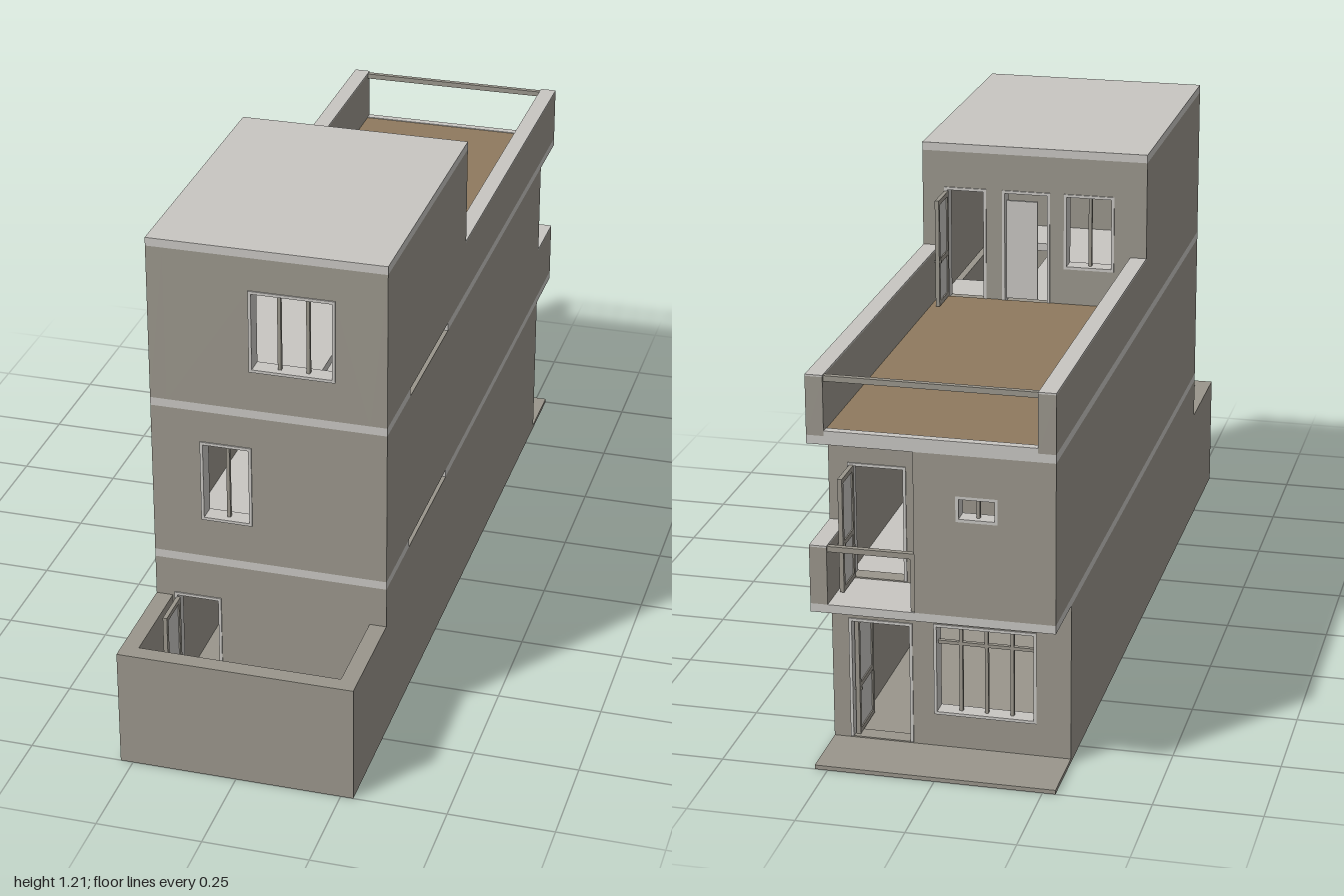
import * as THREE from 'three';

export function createModel() {
  const root = new THREE.Group();
  root.name = 'narrowHouse';
  const mat = (name, color) => {
    const m = new THREE.MeshStandardMaterial({ color });
    m.name = name;
    return m;
  };
  const wall = mat('wall plaster', 0x9a968c);
  const pale = mat('pale concrete', 0xc8c6c2);
  const deck = mat('brown deck', 0x8f7a5f);

  const W = 0.28, T = 0.04, FRONT = 0.72, BACK = -0.84, END = -1;

  // Box given by its limits on each axis
  const box = (name, m, x0, x1, y0, y1, z0, z1, parent = root) => {
    const mesh = new THREE.Mesh(new THREE.BoxGeometry(x1 - x0, y1 - y0, z1 - z0), m);
    mesh.position.set((x0 + x1) / 2, (y0 + y1) / 2, (z0 + z1) / 2);
    mesh.name = name;
    parent.add(mesh);
    return mesh;
  };

  const rect = (S, x0, x1, y0, y1) => {
    const s = new S();
    s.moveTo(x0, y0);
    s.lineTo(x1, y0);
    s.lineTo(x1, y1);
    s.lineTo(x0, y1);
    s.closePath();
    return s;
  };

  // Upright wall across x with rectangular openings [x0, x1, y0, y1]
  const panel = (name, x0, x1, y0, y1, z0, z1, holes = []) => {
    const s = rect(THREE.Shape, x0, x1, y0, y1);
    holes.forEach(h => s.holes.push(rect(THREE.Path, ...h)));
    const g = new THREE.ExtrudeGeometry(s, { depth: z1 - z0, bevelEnabled: false });
    const mesh = new THREE.Mesh(g, wall);
    mesh.position.z = z0;
    mesh.name = name;
    root.add(mesh);
  };

  // Pale frame lining an opening, with evenly spaced mullions and an optional transom
  const frame = (name, [x0, x1, y0, y1], z0, z1, panes = 1, transom = 0, isDoor = false) => {
    const g = new THREE.Group(), f = 0.007, zm = (z0 + z1) / 2;
    g.name = name;
    box('jamb', pale, x0, x0 + f, y0, y1, z0, z1, g);
    box('jamb', pale, x1 - f, x1, y0, y1, z0, z1, g);
    box('head', pale, x0, x1, y1 - f, y1, z0, z1, g);
    if (!isDoor) box('sill', pale, x0, x1, y0, y0 + f, z0, z1, g);
    for (let i = 1; i < panes; i++) {
      const x = x0 + (x1 - x0) * i / panes;
      box('mullion', wall, x - 0.004, x + 0.004, y0, y1, zm - 0.005, zm + 0.005, g);
    }
    if (transom) box('transom', wall, x0, x1, transom - 0.004, transom + 0.004, zm - 0.005, zm + 0.005, g);
    root.add(g);
  };

  // Door leaf standing open at right angles to its wall
  const leaf = (name, x, z0, z1, y0, y1) => {
    const g = new THREE.Group(), b = 0.012, t = 0.005;
    g.name = name;
    box('stile', wall, x - t, x + t, y0, y1, z0, z0 + b, g);
    box('stile', wall, x - t, x + t, y0, y1, z1 - b, z1, g);
    for (const y of [y0, y0 + (y1 - y0) * 0.4, y1 - b])
      box('rail', wall, x - t, x + t, y, y + b, z0 + b, z1 - b, g);
    box('leafPanel', pale, x - 0.002, x + 0.002, y0 + b, y1 - b, z0 + b, z1 - b, g);
    box('handle', wall, x - 0.009, x + 0.009, y0 + 0.11, y0 + 0.116, z0 + 0.004, z0 + 0.01, g);
    root.add(g);
  };

  // Ground plate
  box('basePlate', wall, -W, W, 0, 0.01, END, 1);

  // Front yard walls
  for (const s of [-1, 1]) {
    const a = s * W, b = s * (W - T);
    box('yardSideWall', wall, Math.min(a, b), Math.max(a, b), 0.01, 0.29, FRONT, 1);
  }
  box('yardFrontWall', wall, -W + T, W - T, 0.01, 0.29, 1 - T, 1);

  // Long side walls, storey by storey
  const side = (name, s, y0, y1, z0, z1) =>
    box(name, wall, s > 0 ? W - T : -W, s > 0 ? W : -W + T, y0, y1, z0, z1);
  for (const s of [-1, 1]) {
    side('groundSideWall', s, 0.01, 0.39, BACK, FRONT);
    side('middleSideWall', s, 0.41, 0.79, s > 0 ? BACK : END, FRONT);
    side('upperSideWall', s, 0.81, 1.19, 0, FRONT);
    side('terraceParapet', s, 0.81, 0.946, END, 0);
    box('parapetCap', pale, s > 0 ? W - T : -W, s > 0 ? W : -W + T, 0.946, 0.95, END, 0);
  }

  // Floor slabs with a stairwell notch reaching the left edge
  for (const y of [0.39, 0.79]) {
    box('slabBack', pale, -W, W, y, y + 0.02, END, 0.17);
    box('slabBesideStair', pale, -W, 0.06, y, y + 0.02, 0.17, 0.52);
    box('slabFront', pale, -W, W, y, y + 0.02, 0.52, FRONT);
  }
  box('roofSlab', pale, -W, W, 1.19, 1.21, 0, FRONT);

  // Openings
  const yardDoor = [-0.235, -0.12, 0.013, 0.3];
  const middleWindow = [-0.163, -0.04, 0.508, 0.712];
  const upperWindow = [-0.042, 0.16, 0.908, 1.11];
  const backDoor = [0.09, 0.24, 0.013, 0.31];
  const backWindow = [-0.2, 0.04, 0.09, 0.315];
  const balconyDoor = [0.1, 0.235, 0.413, 0.69];
  const bathWindow = [-0.15, -0.055, 0.635, 0.695];
  const terraceDoor = [0.12, 0.225, 0.813, 1.1];
  const secondDoor = [-0.04, 0.08, 0.813, 1.1];
  const terraceWindow = [-0.2, -0.075, 0.91, 1.1];

  // Cross walls
  const xi = W - T, zf = FRONT - T;
  panel('groundFrontWall', -xi, xi, 0.01, 0.39, zf, FRONT, [yardDoor]);
  panel('middleFrontWall', -xi, xi, 0.41, 0.79, zf, FRONT, [middleWindow]);
  panel('upperFrontWall', -xi, xi, 0.81, 1.19, zf, FRONT, [upperWindow]);
  panel('groundBackWall', -xi, xi, 0.01, 0.39, BACK, BACK + T, [[0.09, 0.239, 0.013, 0.31], backWindow]);
  panel('balconyWall', -xi, xi, 0.41, 0.79, BACK, BACK + T, [balconyDoor]);
  panel('bathBackWall', -xi, 0.04, 0.41, 0.79, END, END + T, [bathWindow]);
  box('bathSideWall', wall, 0.01, 0.04, 0.41, 0.79, END + T, BACK);
  panel('terraceWall', -xi, xi, 0.81, 1.19, 0, T, [terraceDoor, secondDoor, terraceWindow]);

  // Frames
  const e = 0.003;
  frame('yardDoorFrame', yardDoor, zf, FRONT + e, 1, 0, true);
  frame('middleWindowFrame', middleWindow, zf, FRONT + e, 2);
  frame('upperWindowFrame', upperWindow, zf, FRONT + e, 3);
  frame('backDoorFrame', backDoor, BACK - e, BACK + T, 1, 0, true);
  frame('backWindowFrame', backWindow, BACK - e, BACK + T, 4, 0.265);
  frame('balconyDoorFrame', balconyDoor, BACK - e, BACK + T, 1, 0, true);
  frame('bathWindowFrame', bathWindow, END, END + T, 2);
  frame('terraceDoorFrame', terraceDoor, -e, T, 1, 0, true);
  frame('secondDoorFrame', secondDoor, -e, T, 1, 0, true);
  frame('terraceWindowFrame', terraceWindow, -e, T, 2);

  // Open door leaves
  leaf('yardDoorLeaf', -0.226, FRONT, FRONT + 0.1, 0.014, 0.287);
  leaf('backDoorLeaf', 0.225, BACK + 0.01, BACK + 0.13, 0.014, 0.3);
  leaf('balconyDoorLeaf', 0.226, BACK - 0.095, BACK, 0.414, 0.685);
  leaf('terraceDoorLeaf', 0.22, -0.095, 0, 0.822, 1.09);
  box('secondDoorLeaf', pale, -0.005, 0.073, 0.82, 1.07, 0.016, 0.024);

  // Terrace deck, rear curb and rail
  box('terraceDeck', deck, -xi, xi, 0.81, 0.82, -0.98, 0);
  box('terraceCurb', pale, -xi, xi, 0.81, 0.822, END, -0.98);
  box('terraceRail', wall, -xi, xi, 0.935, 0.948, -0.995, -0.982);

  // Balcony side parapet, rail and post
  side('balconyParapet', 1, 0.41, 0.546, END, BACK);
  box('balconyParapetCap', pale, xi, W, 0.546, 0.55, END, BACK);
  box('balconyRail', wall, 0.04, xi, 0.535, 0.548, -0.995, -0.982);
  box('balconyPost', wall, 0.04, 0.05, 0.41, 0.535, -0.995, -0.985);

  return root;
}
